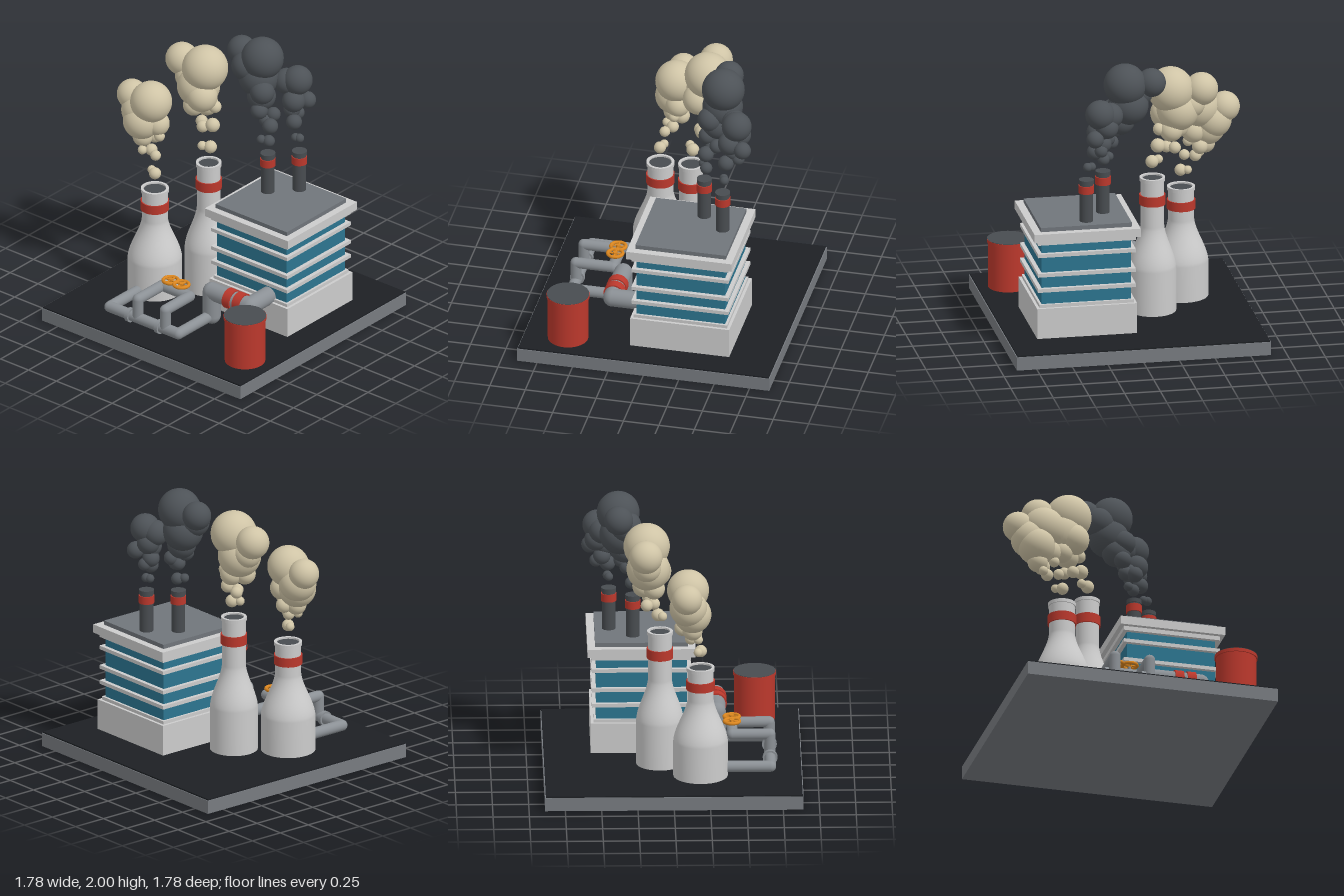
import * as THREE from 'three';

const mat = (color, side = THREE.FrontSide) => new THREE.MeshStandardMaterial({ color, side });
const WALL = mat(0xcccccc), GREY = mat(0x8b9095), ROOF = mat(0x70757b), BASE = mat(0x777b80);
const BLACK = mat(0x1d2024), DARK = mat(0x484c50), RED = mat(0xbb382c), BLUE = mat(0x2c7590);
const ORANGE = mat(0xdb861f), CREAM = mat(0xcfc4a6), SOOT = mat(0x4d5257);
const TOWER = mat(0xcccccc, THREE.DoubleSide);

function add(parent, name, geo, material, x = 0, y = 0, z = 0) {
  const m = new THREE.Mesh(geo, material);
  m.name = name;
  m.position.set(x, y, z);
  parent.add(m);
  return m;
}
function group(parent, name, x = 0, y = 0, z = 0) {
  const g = new THREE.Group();
  g.name = name;
  g.position.set(x, y, z);
  parent.add(g);
  return g;
}
// Box and upright cylinder given by bottom and top heights
const slab = (p, name, half, y0, y1, m) =>
  add(p, name, new THREE.BoxGeometry(half * 2, y1 - y0, half * 2), m, 0, (y0 + y1) / 2, 0);
const drum = (p, name, r, y0, y1, m) =>
  add(p, name, new THREE.CylinderGeometry(r, r, y1 - y0, 40), m, 0, (y0 + y1) / 2, 0);

// Cylinder between two points
function rod(p, name, a, b, r, m) {
  const va = new THREE.Vector3(...a), d = new THREE.Vector3(...b).sub(va);
  const mesh = add(p, name, new THREE.CylinderGeometry(r, r, d.length(), 28), m);
  mesh.position.copy(va).addScaledVector(d, 0.5);
  mesh.quaternion.setFromUnitVectors(new THREE.Vector3(0, 1, 0), d.normalize());
}
// Pipe run with rounded elbows
function pipe(p, name, pts, r) {
  const g = group(p, name);
  pts.forEach((pt, i) => {
    if (i) rod(g, 'pipeSection', pts[i - 1], pt, r, GREY);
    if (i && i < pts.length - 1) add(g, 'elbow', new THREE.SphereGeometry(r, 28, 18), GREY, ...pt);
  });
}

// Bottle-shaped cooling tower with a recessed mouth
function tower(p, x, z, R, r, yFull, yNeck, top, band0, band1) {
  const g = group(p, 'coolingTower', x, 0, z);
  const pts = [new THREE.Vector2(R, 0.1)];
  for (let i = 0; i <= 14; i++) {
    const t = i / 14, s = t * t * (3 - 2 * t);
    pts.push(new THREE.Vector2(R + (r - R) * (0.7 * s + 0.3 * t), yFull + (yNeck - yFull) * t));
  }
  pts.push(new THREE.Vector2(r, top - 0.01));
  add(g, 'towerShell', new THREE.LatheGeometry(pts, 48), TOWER);
  const ring = new THREE.Shape().absarc(0, 0, r + 0.007, 0, Math.PI * 2);
  ring.holes.push(new THREE.Path().absarc(0, 0, r - 0.012, 0, Math.PI * 2, true));
  const rim = add(g, 'towerRim', new THREE.ExtrudeGeometry(ring,
    { depth: 0.025, bevelEnabled: false, curveSegments: 24 }), WALL, 0, top, 0);
  rim.rotation.x = Math.PI / 2;
  drum(g, 'towerMouth', r - 0.008, top - 0.04, top - 0.012, DARK);
  drum(g, 'towerBand', r + 0.009, band0, band1, RED);
}

// Narrow flue on the roof
function flue(p, x, z) {
  const g = group(p, 'flue', x, 0, z);
  drum(g, 'flueBody', 0.047, 0.88, 1.17, DARK);
  drum(g, 'flueBand', 0.054, 1.105, 1.16, RED);
  drum(g, 'flueCap', 0.052, 1.17, 1.2, DARK);
}

// Smoke puffs listed as [x, y, z, radius]
function plume(p, name, puffs, m) {
  const g = group(p, name);
  for (const [x, y, z, r] of puffs) add(g, 'puff', new THREE.SphereGeometry(r, 32, 20), m, x, y, z);
}

function handwheel(p, x, y, z) {
  const g = group(p, 'valveWheel', x, y, z);
  add(g, 'wheelRim', new THREE.TorusGeometry(0.052, 0.012, 12, 36), ORANGE).rotation.x = Math.PI / 2;
  rod(g, 'spoke', [-0.05, 0, 0], [0.05, 0, 0], 0.007, ORANGE);
  rod(g, 'spoke', [0, 0, -0.05], [0, 0, 0.05], 0.007, ORANGE);
  drum(g, 'wheelHub', 0.016, -0.012, 0.012, ORANGE);
  drum(g, 'valveStem', 0.011, -0.07, 0, GREY);
}

export function createModel() {
  const model = new THREE.Group();
  model.name = 'factory';

  // Ground plate
  slab(model, 'basePlate', 0.89, 0, 0.095, BASE);
  slab(model, 'groundSurface', 0.884, 0.095, 0.105, BLACK);

  // Office block: plinth, glazing, ledges, cornice and roof
  const block = group(model, 'mainBuilding', 0.335, 0, -0.21);
  slab(block, 'plinth', 0.35, 0.1, 0.322, WALL);
  slab(block, 'plinthCap', 0.33, 0.322, 0.345, WALL);
  slab(block, 'glazing', 0.313, 0.345, 0.78, BLUE);
  for (const y of [0.437, 0.548, 0.69]) slab(block, 'ledge', 0.342, y, y + 0.026, WALL);
  slab(block, 'lowerCornice', 0.342, 0.78, 0.81, WALL);
  slab(block, 'cornice', 0.372, 0.81, 0.87, WALL);
  slab(block, 'roof', 0.319, 0.87, 0.9, ROOF);
  flue(model, 0.17, -0.267);
  flue(model, 0.317, -0.43);

  // Cooling towers
  tower(model, -0.463, 0.188, 0.188, 0.09, 0.36, 0.66, 0.895, 0.735, 0.8);
  tower(model, -0.21, -0.087, 0.165, 0.082, 0.42, 0.72, 1.07, 0.875, 0.945);

  // Storage tank
  const tank = group(model, 'storageTank', 0.673, 0, 0.58);
  drum(tank, 'tankBody', 0.14, 0.1, 0.43, RED);
  drum(tank, 'tankRim', 0.148, 0.43, 0.453, RED);
  drum(tank, 'tankLid', 0.146, 0.45, 0.456, DARK);

  // Low pipe from the tower, valve loop, and wide pipe into the building
  const y = 0.165, z = 0.67;
  pipe(model, 'lowPipe', [[-0.463, y, 0.25], [-0.463, y, z], [0.15, y, z], [0.15, y, 0.31]], 0.039);
  pipe(model, 'valveLoop', [[-0.212, y, z], [-0.212, 0.31, z], [-0.212, 0.31, 0.41],
    [0.034, 0.31, 0.41], [0.034, 0.31, z], [0.034, y, z]], 0.038);
  pipe(model, 'widePipe', [[0.15, 0.17, 0.31], [0.15, 0.165, 0.31], [0.15, 0.35, 0.31],
    [0.488, 0.35, 0.31], [0.488, 0.35, 0.1]], 0.063);
  for (const x of [-0.28, -0.015]) rod(model, 'flange', [x - 0.014, y, z], [x + 0.014, y, z], 0.051, GREY);
  for (const x of [0.329, 0.416])
    rod(model, 'pipeBand', [x - 0.031, 0.35, 0.31], [x + 0.031, 0.35, 0.31], 0.073, RED);
  for (const x of [-0.136, -0.04]) handwheel(model, x, 0.377, 0.41);

  // Smoke
  plume(model, 'nearTowerSmoke', [
    [-0.46, 1.01, 0.19, 0.042], [-0.505, 1.015, 0.17, 0.03], [-0.48, 1.13, 0.16, 0.037],
    [-0.55, 1.135, 0.12, 0.042], [-0.59, 1.14, 0.17, 0.032], [-0.495, 1.25, 0.1, 0.037],
    [-0.62, 1.22, 0.13, 0.07], [-0.57, 1.22, 0.06, 0.055], [-0.53, 1.33, 0.08, 0.085],
    [-0.63, 1.34, 0.13, 0.13], [-0.67, 1.4, 0.1, 0.13], [-0.75, 1.49, 0.09, 0.105],
    [-0.57, 1.495, 0.1, 0.145]], CREAM);
  plume(model, 'farTowerSmoke', [
    [-0.205, 1.185, -0.1, 0.045], [-0.255, 1.19, -0.07, 0.032], [-0.235, 1.32, -0.16, 0.05],
    [-0.3, 1.3, -0.13, 0.042], [-0.35, 1.305, -0.18, 0.042], [-0.24, 1.45, -0.19, 0.045],
    [-0.32, 1.44, -0.2, 0.08], [-0.38, 1.44, -0.13, 0.075], [-0.3, 1.54, -0.12, 0.11],
    [-0.37, 1.58, -0.17, 0.15], [-0.46, 1.62, -0.18, 0.1], [-0.535, 1.725, -0.19, 0.115],
    [-0.32, 1.73, -0.18, 0.16]], CREAM);
  plume(model, 'nearFlueSmoke', [
    [0.168, 1.285, -0.28, 0.042], [0.125, 1.295, -0.25, 0.032], [0.18, 1.405, -0.28, 0.055],
    [0.12, 1.42, -0.31, 0.05], [0.15, 1.46, -0.35, 0.05], [0.09, 1.5, -0.27, 0.06],
    [0.06, 1.58, -0.33, 0.1], [0.1, 1.64, -0.29, 0.085], [0.01, 1.7, -0.36, 0.14],
    [-0.06, 1.78, -0.32, 0.11], [-0.15, 1.855, -0.37, 0.1], [0.035, 1.85, -0.37, 0.148]], SOOT);
  plume(model, 'farFlueSmoke', [
    [0.28, 1.29, -0.43, 0.03], [0.31, 1.29, -0.44, 0.032], [0.26, 1.4, -0.44, 0.055],
    [0.23, 1.43, -0.52, 0.045], [0.21, 1.47, -0.48, 0.06], [0.28, 1.53, -0.56, 0.06],
    [0.24, 1.55, -0.46, 0.08], [0.19, 1.6, -0.52, 0.08], [0.16, 1.67, -0.48, 0.09],
    [0.235, 1.69, -0.51, 0.103]], SOOT);

  return model;
}
